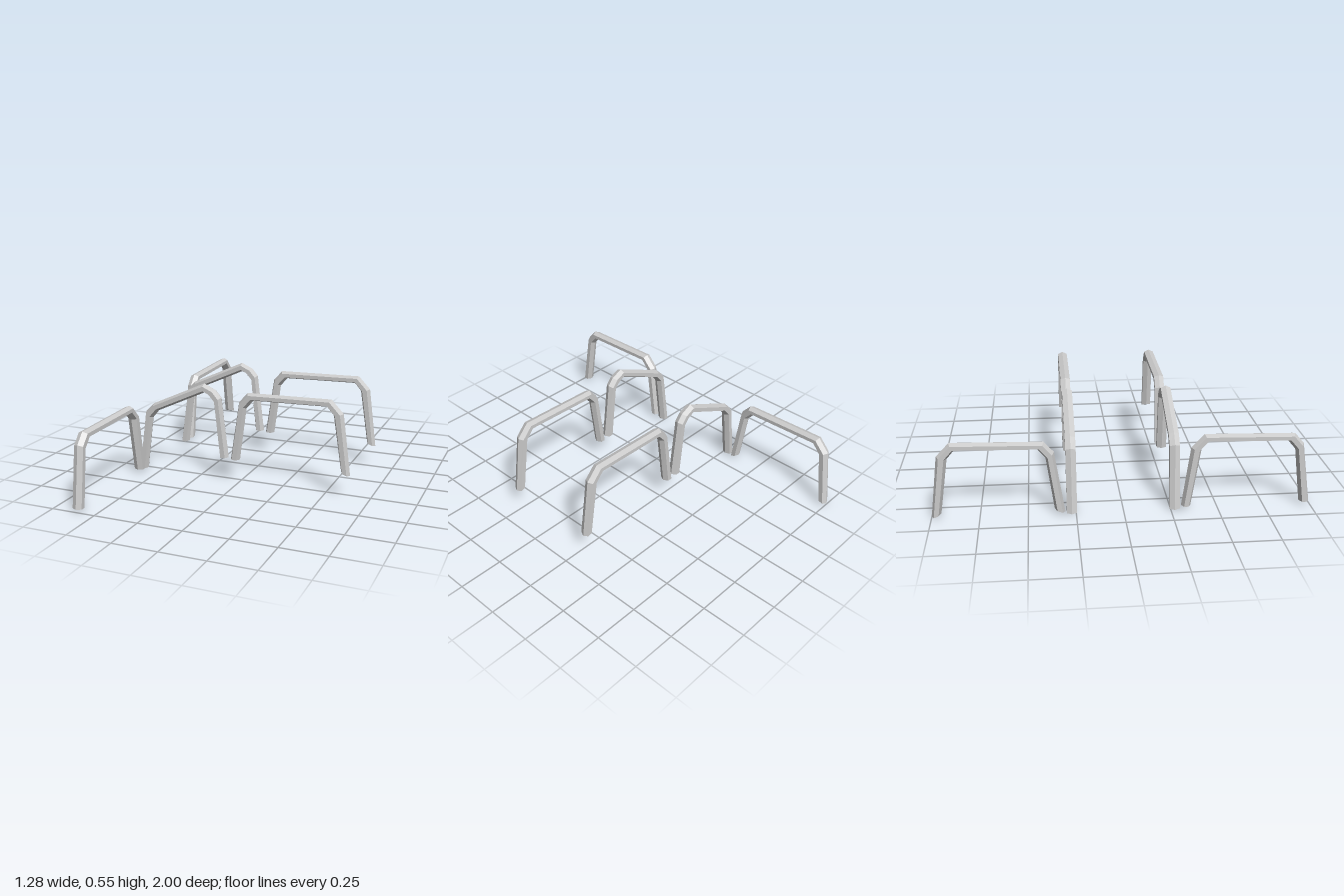
import * as THREE from 'three';

const material = new THREE.MeshStandardMaterial({ color: 0xcccccc, flatShading: true });
const HALF_DEPTH = 0.027;

// Hexagonal bar swept between an outer and an inner outline, capped at both ends.
function archGeometry(outer, inner) {
  const hex = [[0, 0], [0.25, 1], [0.75, 1], [1, 0], [0.75, -1], [0.25, -1]];
  const positions = [], index = [];
  outer.forEach(([ox, oy], i) => {
    const [ix, iy] = inner[i];
    for (const [t, side] of hex) {
      positions.push(ox + (ix - ox) * t, oy + (iy - oy) * t, side * HALF_DEPTH);
    }
  });
  const last = (outer.length - 1) * 6;
  for (let r = 0; r < last; r += 6) {
    for (let k = 0; k < 6; k++) {
      const n = (k + 1) % 6;
      index.push(r + k, r + n, r + 6 + n, r + k, r + 6 + n, r + 6 + k);
    }
  }
  for (let k = 1; k < 5; k++) {
    index.push(0, k + 1, k, last, last + k, last + k + 1);
  }
  const geometry = new THREE.BufferGeometry();
  geometry.setAttribute('position', new THREE.Float32BufferAttribute(positions, 3));
  geometry.setIndex(index);
  geometry.computeVertexNormals();
  return geometry;
}

// Level arch; the heights of its four foot corners can be trimmed.
function levelArch(startOut, startIn, endOut, endIn) {
  return archGeometry(
    [[-0.055, startOut], [-0.003, 0.463], [0.048, 0.521], [0.525, 0.532], [0.593, 0.46], [0.638, endOut]],
    [[0, startIn], [0.041, 0.432], [0.082, 0.48], [0.501, 0.49], [0.539, 0.446], [0.587, endIn]]
  );
}

// Arch with a sloping top and one longer leg.
function slopedArch() {
  return archGeometry(
    [[-0.638, 0], [-0.585, 0.35], [-0.535, 0.401], [-0.213, 0.549], [-0.144, 0.518], [-0.11, 0.477], [-0.069, 0.134]],
    [[-0.585, 0.005], [-0.542, 0.316], [-0.501, 0.364], [-0.213, 0.497], [-0.189, 0.487], [-0.154, 0.449], [-0.123, 0.134]]
  );
}

export function createModel() {
  const group = new THREE.Group();
  const add = (name, geometry, x, y, z, turn = 0) => {
    const mesh = new THREE.Mesh(geometry, material);
    mesh.name = name;
    mesh.position.set(x, y, z);
    mesh.rotation.y = turn;
    group.add(mesh);
  };

  // Two parallel rows, each a sloped arch followed by a level arch
  const sloped = slopedArch();
  const level = levelArch(0.13, 0.13, 0.12, 0.14);
  for (const [side, z] of [['front', 0.272], ['back', -0.272]]) {
    add(side + 'SlopedArch', sloped, 0, 0, z);
    add(side + 'LevelArch', level, 0, 0, z);
  }

  // Crosswise arches reaching outward from the long legs
  add('frontCrossArch', levelArch(0.13, 0.13, 0.13, 0.13), -0.609, -0.115, 0.945, Math.PI / 2);
  add('backCrossArch', levelArch(0.12, 0.14, 0.12, 0.14), -0.609, -0.115, -0.361, Math.PI / 2);

  return group;
}
